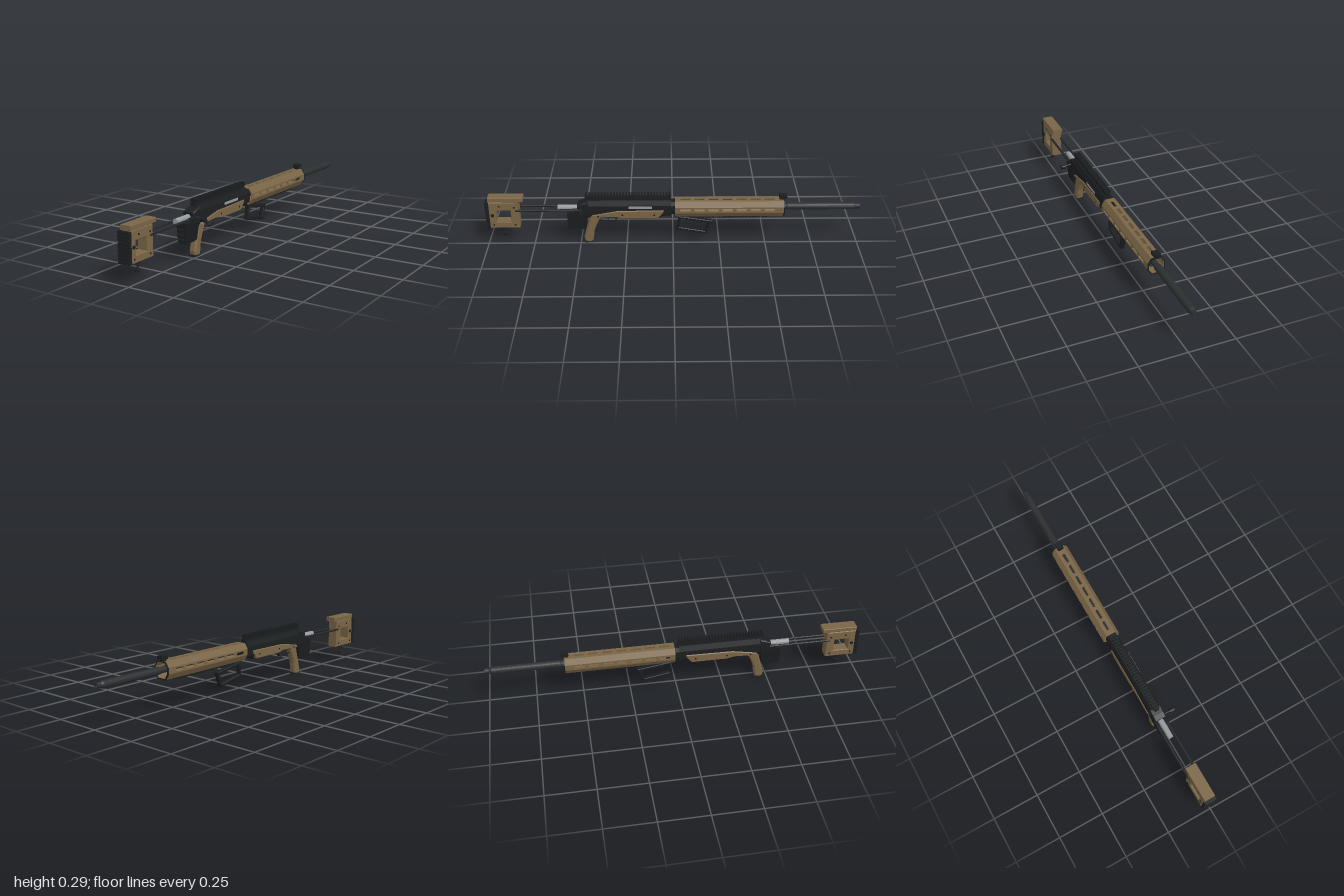
import * as THREE from 'three';

const CX = -0.023; // centre plane of the body
const paint = (color) => new THREE.MeshStandardMaterial({ color, flatShading: true });
const tan = paint(0x7a6546), black = paint(0x1b1e20), dark = paint(0x24272a), steel = paint(0x96999b);
const barrelMat = new THREE.MeshStandardMaterial({ color: 0x2c2f30 });

export function createModel() {
  const root = new THREE.Group();
  root.name = 'rifle';
  const body = new THREE.Group();
  body.name = 'body';
  body.position.x = CX;
  root.add(body);

  const add = (name, geo, mat, x = 0, y = 0, z = 0) => {
    const m = new THREE.Mesh(geo, mat);
    m.name = name;
    m.position.set(x, y, z);
    body.add(m);
    return m;
  };
  const box = (name, mat, w, h, d, x, y, z) => add(name, new THREE.BoxGeometry(w, h, d), mat, x, y, z);
  const path = (pts, T = THREE.Path) => new T(pts.map(([a, b]) => new THREE.Vector2(a, b)));

  // Side outline of [z, y] points, extruded across x with an optional bevel
  const side = (name, mat, pts, width, holes = [], x = 0, bevel = 0) => {
    const s = path(pts, THREE.Shape);
    s.holes = holes.map((h) => path(h));
    const g = new THREE.ExtrudeGeometry(s, {
      depth: width - 2 * bevel, bevelEnabled: bevel > 0, bevelSize: bevel,
      bevelThickness: bevel, bevelOffset: -bevel, bevelSegments: 1,
    });
    g.translate(0, 0, -width / 2 + bevel).rotateY(-Math.PI / 2);
    return add(name, g, mat, x);
  };
  // Cross-section of [x, y] points, extruded from z0 to z1
  const section = (name, mat, pts, z0, z1) => {
    const g = new THREE.ExtrudeGeometry(path(pts, THREE.Shape), { depth: z1 - z0, bevelEnabled: false });
    return add(name, g, mat, 0, 0, z0);
  };
  // Round rod between two points
  const rod = (name, mat, a, b, r, seg = 12) => {
    const p = new THREE.Vector3(...a), q = new THREE.Vector3(...b), d = q.clone().sub(p);
    const m = add(name, new THREE.CylinderGeometry(r, r, d.length(), seg), mat);
    m.position.copy(p).add(q).multiplyScalar(0.5);
    m.quaternion.setFromUnitVectors(new THREE.Vector3(0, 1, 0), d.normalize());
    return m;
  };
  // Accessory rail: a base with evenly spaced teeth
  const rail = (name, w, z0, z1, yBase, yTop, n) => {
    const len = z1 - z0, mid = (yBase + yTop) / 2, h = Math.abs(yTop - yBase) / 2;
    box(name + 'Base', black, w * 0.7, h, len, 0, (yBase + mid) / 2, (z0 + z1) / 2);
    for (let i = 0; i < n; i++)
      box(name + 'Tooth', black, w, h, (len / n) * 0.55, 0, (mid + yTop) / 2, z0 + (len * (i + 0.5)) / n);
  };

  // Barrel and muzzle tube, turned around z
  const barrelPts = [[0, 0.03], [0.012, 0.03], [0.012, -0.5], [0.016, -0.52], [0.016, -0.605], [0.0195, -0.61],
    [0.0195, -0.965], [0.015, -0.978], [0.015, -1], [0.008, -1], [0.008, -0.96], [0, -0.96]];
  const barrel = new THREE.LatheGeometry(barrelPts.map(([r, z]) => new THREE.Vector2(r, -z)), 20);
  barrel.rotateX(-Math.PI / 2);
  const barrelFlat = barrel.toNonIndexed();
  barrelFlat.computeVertexNormals();
  add('barrel', barrelFlat, barrelMat, 0, 0.2125, 0).material.side = THREE.DoubleSide;

  // Hollow eight-sided handguard made of slotted panels
  const oct = [[0.026, 0.256], [0.045, 0.228], [0.045, 0.195], [0.026, 0.165],
    [-0.026, 0.165], [-0.045, 0.195], [-0.045, 0.228], [-0.026, 0.256]];
  const Z = new THREE.Vector3(0, 0, 1);
  oct.forEach((a, i) => {
    const b = oct[(i + 1) % 8];
    const mx = (a[0] + b[0]) / 2, my = (a[1] + b[1]) / 2;
    const N = new THREE.Vector3(-(b[1] - a[1]), b[0] - a[0], 0).normalize();
    const half = Math.hypot(b[0] - a[0], b[1] - a[1]) / 2;
    const s = path([[-0.59, -half], [-0.01, -half], [-0.01, half], [-0.59, half]], THREE.Shape);
    if (i % 2 === 1) { // flat faces carry the slots
      for (let k = 0; k < 7; k++) {
        const c = -0.066 - k * 0.0747, l = 0.028, h = 0.008;
        s.holes.push(path([[c - l, -h / 2], [c - l + 0.005, -h], [c + l - 0.005, -h], [c + l, -h / 2],
          [c + l, h / 2], [c + l - 0.005, h], [c - l + 0.005, h], [c - l, h / 2]]));
      }
    }
    if (i === 7) for (let k = 0; k < 7; k++) {
      const c = -0.066 - k * 0.0747;
      s.holes.push(path([[c - 0.028, -0.008], [c + 0.028, -0.008], [c + 0.028, 0.008], [c - 0.028, 0.008]]));
      s.holes.length = 7;
    }
    const g = new THREE.ExtrudeGeometry(s, { depth: 0.005, bevelEnabled: false }).translate(0, 0, -0.005);
    const V = new THREE.Vector3().crossVectors(N, Z);
    g.applyMatrix4(new THREE.Matrix4().makeBasis(Z, V, N).setPosition(mx, my, 0));
    add('handguardPanel', g, tan);
  });
  // Dark rim at the handguard mouth
  const scaleOct = (k) => oct.map(([x, y]) => [x * k, 0.2105 + (y - 0.2105) * k]);
  const rim = path(scaleOct(1.02), THREE.Shape);
  rim.holes.push(path(scaleOct(0.88)));
  add('handguardRim', new THREE.ExtrudeGeometry(rim, { depth: 0.006, bevelEnabled: false }), black, 0, 0, -0.595);
  rail('lowerRail', 0.03, -0.51, -0.08, 0.166, 0.152, 24);
  box('frontSightBase', black, 0.02, 0.014, 0.025, 0, 0.262, -0.58);
  box('frontSight', black, 0.034, 0.018, 0.04, 0, 0.274, -0.586);

  // Receiver
  section('receiver', black, [[-0.02, 0.168], [0.02, 0.168], [0.031, 0.18], [0.031, 0.232],
    [0.019, 0.26], [-0.019, 0.26], [-0.031, 0.232], [-0.031, 0.18]], 0.012, 0.455);
  section('receiverCollar', black, [[-0.02, 0.178], [0.02, 0.178], [0.029, 0.195], [0.029, 0.23],
    [0.018, 0.25], [-0.018, 0.25], [-0.029, 0.23], [-0.029, 0.195]], -0.015, 0.013);
  side('receiverRear', black, [[0.45, 0.165], [0.51, 0.175], [0.51, 0.235], [0.485, 0.246], [0.45, 0.255]], 0.066, [], 0, 0.006);
  rail('topRail', 0.033, 0.01, 0.47, 0.258, 0.293, 28);
  box('ejectionPort', black, 0.004, 0.024, 0.145, 0.031, 0.223, 0.175);
  box('boltCover', steel, 0.004, 0.014, 0.125, 0.0325, 0.224, 0.175);

  // Chassis side plates and underside
  side('chassis', tan, [[0.44, 0.163], [0.43, 0.178], [0.3, 0.203], [0.05, 0.207], [0.05, 0.195],
    [0.08, 0.157], [0.27, 0.157], [0.31, 0.166]], 0.07, [], 0, 0.004);
  side('chassisUnderside', black, [[0.45, 0.157], [0.45, 0.175], [0.03, 0.18], [0.075, 0.152], [0.27, 0.152], [0.31, 0.158]], 0.036);
  for (const s of [-1, 1]) for (const [z, y] of [[0.1, 0.18], [0.27, 0.18], [0.4, 0.172]])
    rod('chassisScrew', black, [s * 0.033, y, z], [s * 0.0365, y, z], 0.005, 8);

  // Grip, trigger and guard
  side('grip', tan, [[0.385, 0.165], [0.445, 0.168], [0.457, 0.12], [0.482, 0.03], [0.478, 0.008],
    [0.465, 0], [0.435, 0.003], [0.43, 0.03], [0.425, 0.07], [0.41, 0.11]], 0.04, [], 0, 0.008);
  side('gripCap', dark, [[0.478, 0], [0.481, 0.01], [0.432, 0.01], [0.434, 0]], 0.037);
  side('triggerGuard', black, [[0.4, 0.165], [0.405, 0.135], [0.32, 0.122], [0.305, 0.13], [0.298, 0.165]], 0.016,
    [[[0.393, 0.16], [0.396, 0.139], [0.322, 0.128], [0.311, 0.134], [0.305, 0.16]]]);
  side('trigger', dark, [[0.36, 0.162], [0.35, 0.162], [0.346, 0.136], [0.351, 0.136]], 0.008);

  // Magazine behind the grip, narrowing downward
  const mag = side('magazine', black, [[0.455, 0.2], [0.565, 0.192], [0.565, 0.088], [0.5, 0.085], [0.468, 0.09]], 0.064);
  const mp = mag.geometry.attributes.position;
  for (let i = 0; i < mp.count; i++)
    mp.setX(i, mp.getX(i) * (0.66 + 0.34 * THREE.MathUtils.clamp((mp.getY(i) - 0.085) / 0.1, 0, 1)));
  mag.geometry.computeVertexNormals();
  for (let i = 0; i < 3; i++) box('magazineRib', dark, 0.036, 0.006, 0.004, 0, 0.11 + i * 0.025, 0.566);

  // Bolt and its handle
  rod('bolt', steel, [0, 0.211, 0.48], [0, 0.211, 0.615], 0.015, 16);
  rod('boltHandle', dark, [0.025, 0.213, 0.49], [0.068, 0.206, 0.49], 0.0055);
  rod('boltKnob', black, [0.065, 0.2045, 0.49], [0.091, 0.2045, 0.49], 0.0125, 14);

  // Stock rods
  for (const s of [-1, 1]) {
    rod('stockRod', dark, [s * 0.0265, 0.206, 0.48], [s * 0.0265, 0.206, 0.84], 0.0065);
    rod('stockRodSocket', black, [s * 0.0265, 0.206, 0.5], [s * 0.0265, 0.206, 0.535], 0.009);
  }

  // Open-framed butt stock, cheek rest and ribbed pad
  side('buttStock', tan, [[0.822, 0.1], [0.982, 0.1], [0.982, 0.256], [0.822, 0.256]], 0.058,
    [[[0.866, 0.137], [0.946, 0.137], [0.946, 0.206], [0.866, 0.206]]], 0, 0.003);
  side('cheekRest', tan, [[0.797, 0.258], [0.983, 0.258], [0.983, 0.281], [0.797, 0.281]], 0.06, [], 0, 0.002);
  box('buttPad', black, 0.064, 0.154, 0.014, 0, 0.178, 0.987);
  for (let i = 0; i < 9; i++) box('buttPadRib', black, 0.066, 0.013, 0.008, 0, 0.108 + i * 0.0176, 0.996);
  for (const s of [-1, 1]) {
    for (const [z, y] of [[0.845, 0.225], [0.845, 0.12], [0.96, 0.12], [0.925, 0.232]])
      rod('stockScrew', black, [s * 0.027, y, z], [s * 0.031, y, z], 0.005, 8);
    rod('stockClampKnob', black, [s * 0.027, 0.178, 0.963], [s * 0.033, 0.178, 0.963], 0.009);
  }

  // Rear support leg
  rod('rearLegCollar', black, [0, 0.086, 0.905], [0, 0.101, 0.905], 0.016);
  rod('rearLeg', dark, [0, 0.048, 0.905], [0, 0.09, 0.905], 0.006);
  rod('rearLegFoot', black, [0, 0.044, 0.905], [0, 0.051, 0.905], 0.0135);

  // Open frame hanging below the handguard
  side('lowerFrame', black, [[-0.03, 0.157], [-0.21, 0.128], [-0.183, 0.045], [-0.02, 0.075]], 0.026,
    [[[-0.043, 0.139], [-0.187, 0.115], [-0.172, 0.063], [-0.036, 0.088]]], 0, 0.003);
  box('lowerFrameMount', black, 0.022, 0.025, 0.025, 0, 0.162, -0.04);

  return root;
}
